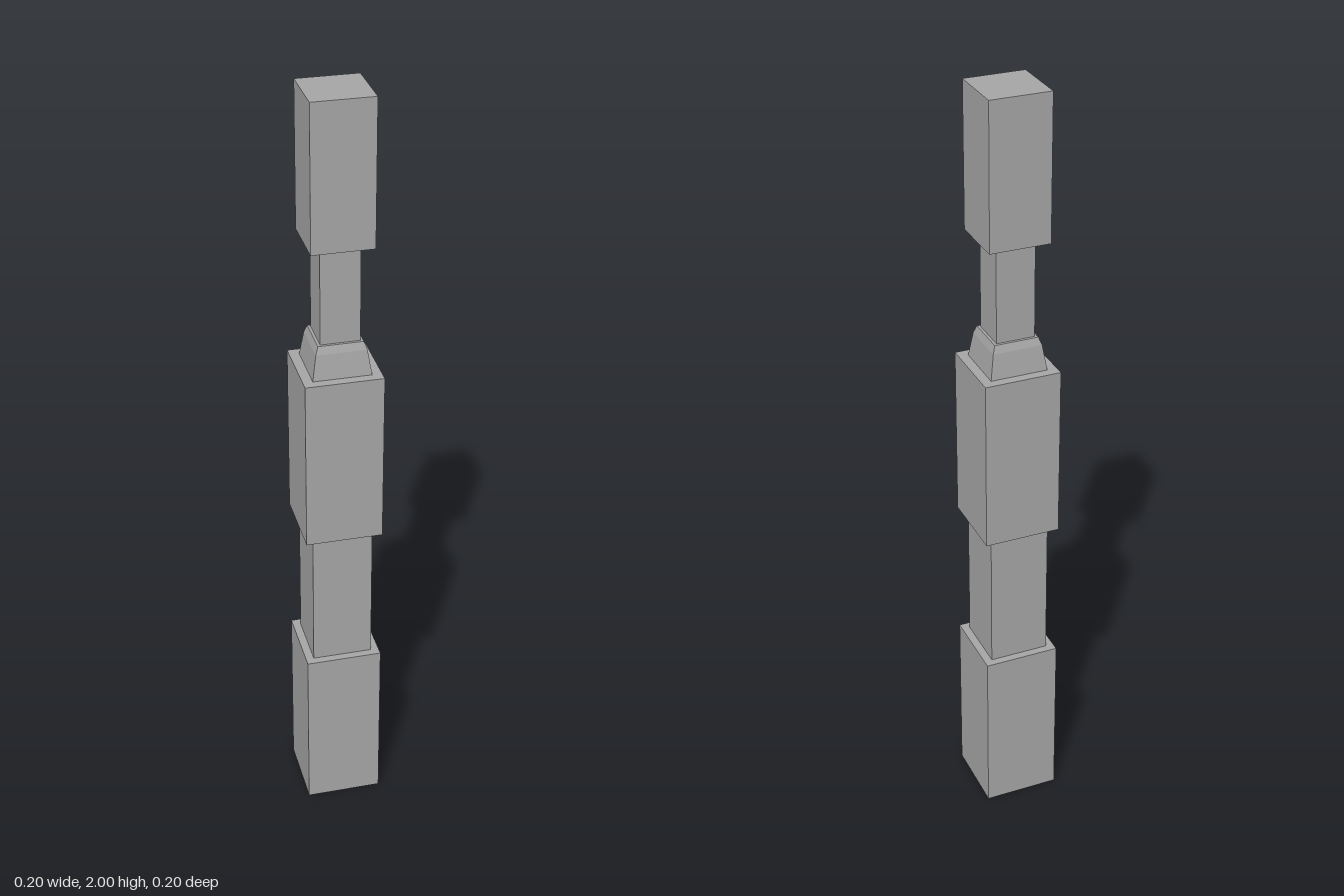
import * as THREE from 'three';

// Square tapered section, with flat sides facing the axes
function squareFrustum(halfBottom, halfTop, height) {
  const g = new THREE.CylinderGeometry(halfTop * Math.SQRT2, halfBottom * Math.SQRT2, height, 4, 1);
  g.rotateY(Math.PI / 4);
  return g;
}

// Box without its underside
function openBox(width, height) {
  const g = new THREE.BoxGeometry(width, height, width);
  const index = Array.from(g.index.array);
  index.splice(18, 6);
  g.setIndex(index);
  g.clearGroups();
  return g;
}

export function createModel() {
  const group = new THREE.Group();
  group.name = 'squarePost';
  const stone = new THREE.MeshStandardMaterial({ color: 0xa6a6a6, flatShading: true, side: THREE.DoubleSide });
  stone.name = 'grey stone';

  const add = (name, geometry, y0, y1) => {
    const mesh = new THREE.Mesh(geometry, stone);
    mesh.name = name;
    mesh.position.y = (y0 + y1) / 2;
    group.add(mesh);
  };

  // Hollow foot block, open underneath
  add('baseBlock', openBox(0.198, 0.46), 0, 0.46);

  // Stacked shaft sections: name, width, bottom, top
  const sections = [
    ['lowerShaft', 0.156, 0.46, 0.84],
    ['middleBlock', 0.198, 0.84, 1.295],
    ['upperShaft', 0.1, 1.38, 1.63],
    ['topBlock', 0.156, 1.63, 2],
  ];
  for (const [name, w, y0, y1] of sections) {
    add(name, new THREE.BoxGeometry(w, y1 - y0, w), y0, y1);
  }

  // Tapered collar with a bevelled upper edge
  add('collar', squareFrustum(0.074, 0.064, 0.065), 1.295, 1.36);
  add('collarBevel', squareFrustum(0.064, 0.057, 0.02), 1.36, 1.38);

  return group;
}
